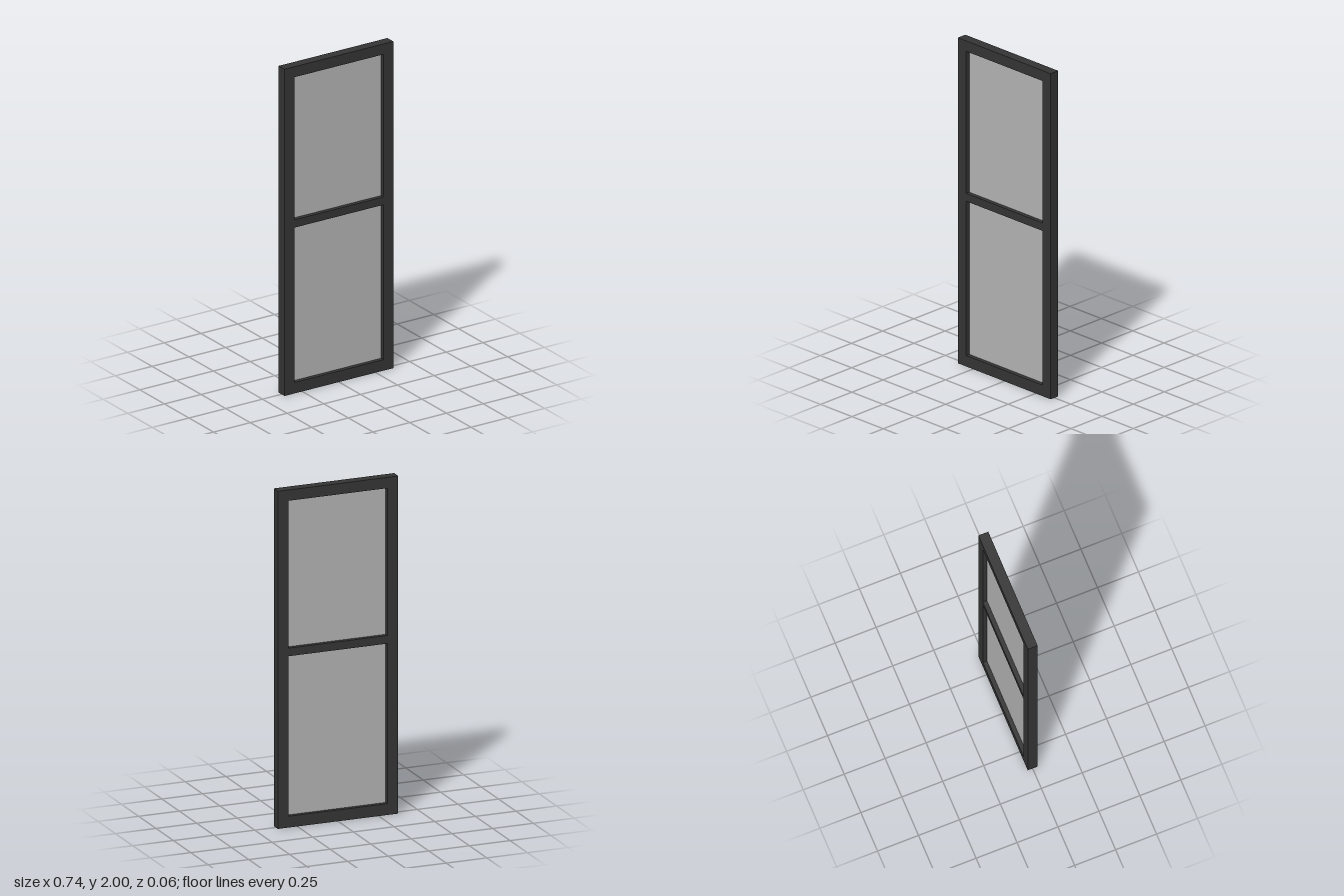
import * as THREE from 'three';

export function createModel() {
  const group = new THREE.Group();
  group.name = 'glazedPanel';
  const frameMat = new THREE.MeshStandardMaterial({ color: 0x343434 });
  frameMat.name = 'charcoal frame';
  const glassMat = new THREE.MeshStandardMaterial({ color: 0xb2b2b2 });
  glassMat.name = 'grey glass';

  const halfWidth = 0.37, height = 2, depth = 0.06, innerX = 0.304;
  const bottom = 0.067, top = 1.936;
  const midLow = 1.015, midHigh = 1.063;

  const rect = (path, x, y0, y1) => {
    path.moveTo(-x, y0);
    path.lineTo(x, y0);
    path.lineTo(x, y1);
    path.lineTo(-x, y1);
    path.closePath();
    return path;
  };
  const add = (name, geometry, material, y = 0) => {
    const mesh = new THREE.Mesh(geometry, material);
    mesh.name = name;
    mesh.position.y = y;
    group.add(mesh);
  };

  // Outer frame with one tall opening
  const outline = rect(new THREE.Shape(), halfWidth, 0, height);
  outline.holes.push(rect(new THREE.Path(), innerX, bottom, top));
  const frame = new THREE.ExtrudeGeometry(outline, { depth, bevelEnabled: false });
  frame.translate(0, 0, -depth / 2);
  add('outerFrame', frame, frameMat);

  // Crossbar, flush with both faces of the frame
  add('crossbar', new THREE.BoxGeometry(innerX * 2, midHigh - midLow, depth), frameMat, (midLow + midHigh) / 2);

  // Thin panes set at mid-depth
  for (const [name, y0, y1] of [['lowerPane', bottom, midLow], ['upperPane', midHigh, top]]) {
    add(name, new THREE.BoxGeometry(innerX * 2, y1 - y0, 0.009), glassMat, (y0 + y1) / 2);
  }
  return group;
}
